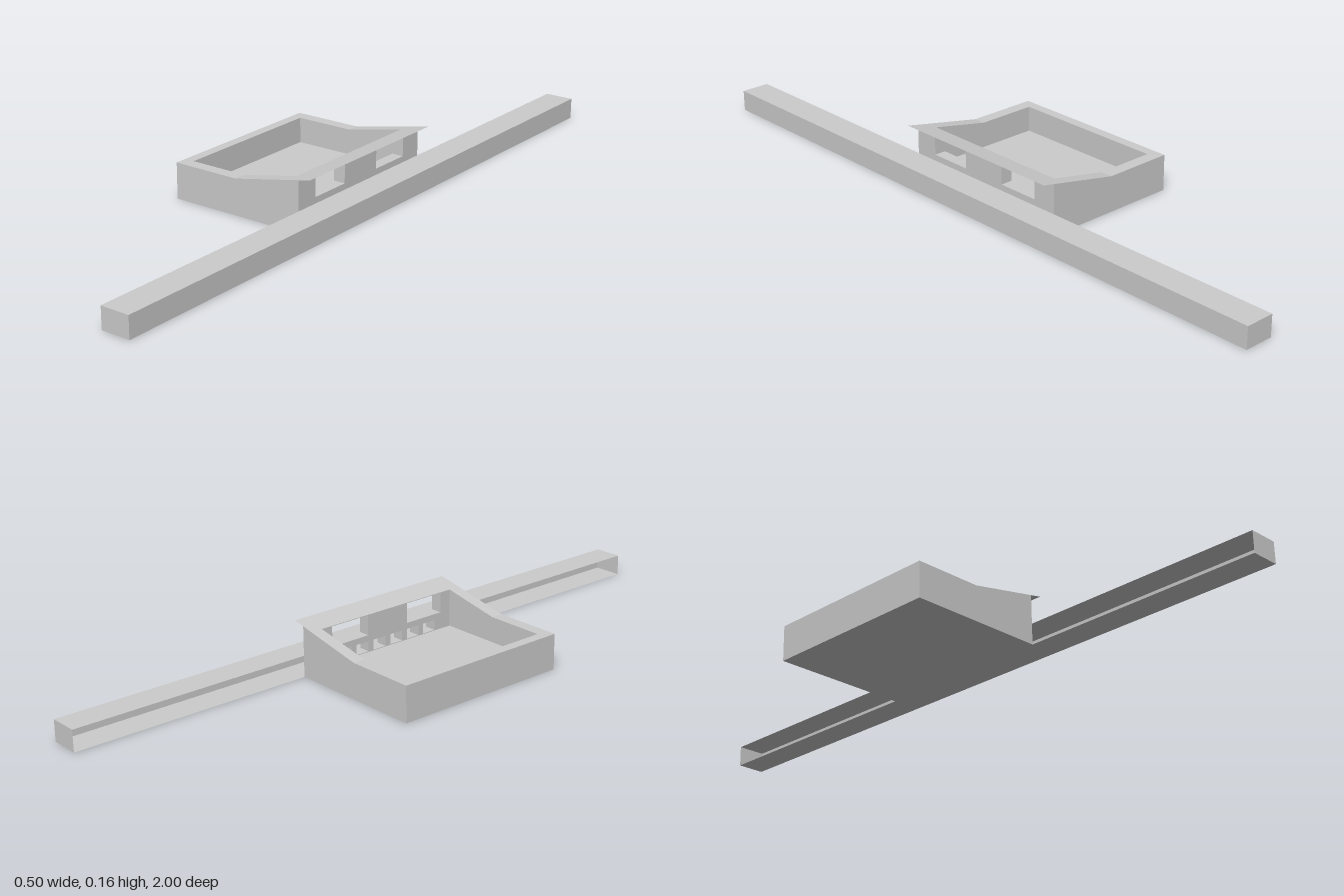
import * as THREE from 'three';

const material = new THREE.MeshStandardMaterial({ color: 0xcccccc, flatShading: true, side: THREE.DoubleSide });

// Tray extents
const X0 = -0.252, X1 = 0.166, IN0 = -0.222, IN1 = 0.131;
const HALF = 0.272, INNER = 0.236, FLOOR = 0.03;
const BEND = -0.045, LOW = 0.105;

// Height of the rim: level, then rising toward the beam
const rimY = (x) => LOW + Math.max(0, x - BEND) * 0.203;

function part(name, geometry) {
  const mesh = new THREE.Mesh(geometry, material);
  mesh.name = name;
  return mesh;
}

function box(x0, x1, y0, y1, z0, z1) {
  return new THREE.BoxGeometry(x1 - x0, y1 - y0, z1 - z0)
    .translate((x0 + x1) / 2, (y0 + y1) / 2, (z0 + z1) / 2);
}

function rectangle(target, u0, u1, v0, v1) {
  target.moveTo(u0, v0).lineTo(u1, v0).lineTo(u1, v1).lineTo(u0, v1).closePath();
  return target;
}

// Wall facing the beam, pierced by two large windows and a row of small ones
function piercedWall() {
  const top = 0.146;
  const shape = rectangle(new THREE.Shape(), -INNER, INNER, 0, top);
  for (const side of [-1, 1]) {
    const c = side * 0.136;
    shape.holes.push(rectangle(new THREE.Path(), c - 0.064, c + 0.064, 0.08, 0.139));
  }
  for (let i = 0; i < 6; i++) {
    const c = (i - 2.5) * 0.062;
    shape.holes.push(rectangle(new THREE.Path(), c - 0.022, c + 0.022, 0.032, 0.062));
  }
  const geometry = new THREE.ExtrudeGeometry(shape, { depth: X1 - IN1, bevelEnabled: false });
  geometry.rotateY(Math.PI / 2).translate(IN1, 0, 0);
  // Slope the top edge to follow the rim
  const p = geometry.attributes.position;
  for (let i = 0; i < p.count; i++) if (p.getY(i) > top - 0.001) p.setY(i, rimY(p.getX(i)));
  geometry.computeVertexNormals();
  return geometry;
}

export function createModel() {
  const model = new THREE.Group();
  model.name = 'trayWithBeam';

  const tray = new THREE.Group();
  tray.name = 'tray';
  tray.position.z = -0.0025;
  model.add(tray);

  tray.add(part('trayFloor', box(IN0, IN1, 0, FLOOR, -INNER, INNER)));
  tray.add(part('lowWall', box(X0, IN0, 0, LOW, -INNER, INNER)));
  tray.add(part('windowWall', piercedWall()));

  // Side walls with the rising top edge
  const profile = new THREE.Shape();
  profile.moveTo(X0, 0).lineTo(X1, 0).lineTo(X1, rimY(X1)).lineTo(BEND, LOW).lineTo(X0, LOW).closePath();
  for (const [name, z] of [['frontWall', INNER], ['backWall', -HALF]]) {
    const wall = new THREE.ExtrudeGeometry(profile, { depth: HALF - INNER, bevelEnabled: false });
    tray.add(part(name, wall.translate(0, 0, z)));
  }

  // Thin sheet continuing the sloped rim over the beam
  const lipEnd = 0.202;
  const lip = new THREE.PlaneGeometry(lipEnd - X1, HALF * 2).rotateX(-Math.PI / 2);
  lip.translate((X1 + lipEnd) / 2, 0, 0);
  const p = lip.attributes.position;
  for (let i = 0; i < p.count; i++) p.setY(i, rimY(p.getX(i)));
  lip.computeVertexNormals();
  tray.add(part('rimLip', lip));

  // Long hollow beam, open on the side toward the tray
  const beam = box(X1, 0.252, 0, 0.062, -1, 1);
  const faces = Array.from(beam.index.array);
  faces.splice(6, 6);
  beam.setIndex(faces);
  beam.clearGroups();
  model.add(part('longBeam', beam));

  return model;
}
